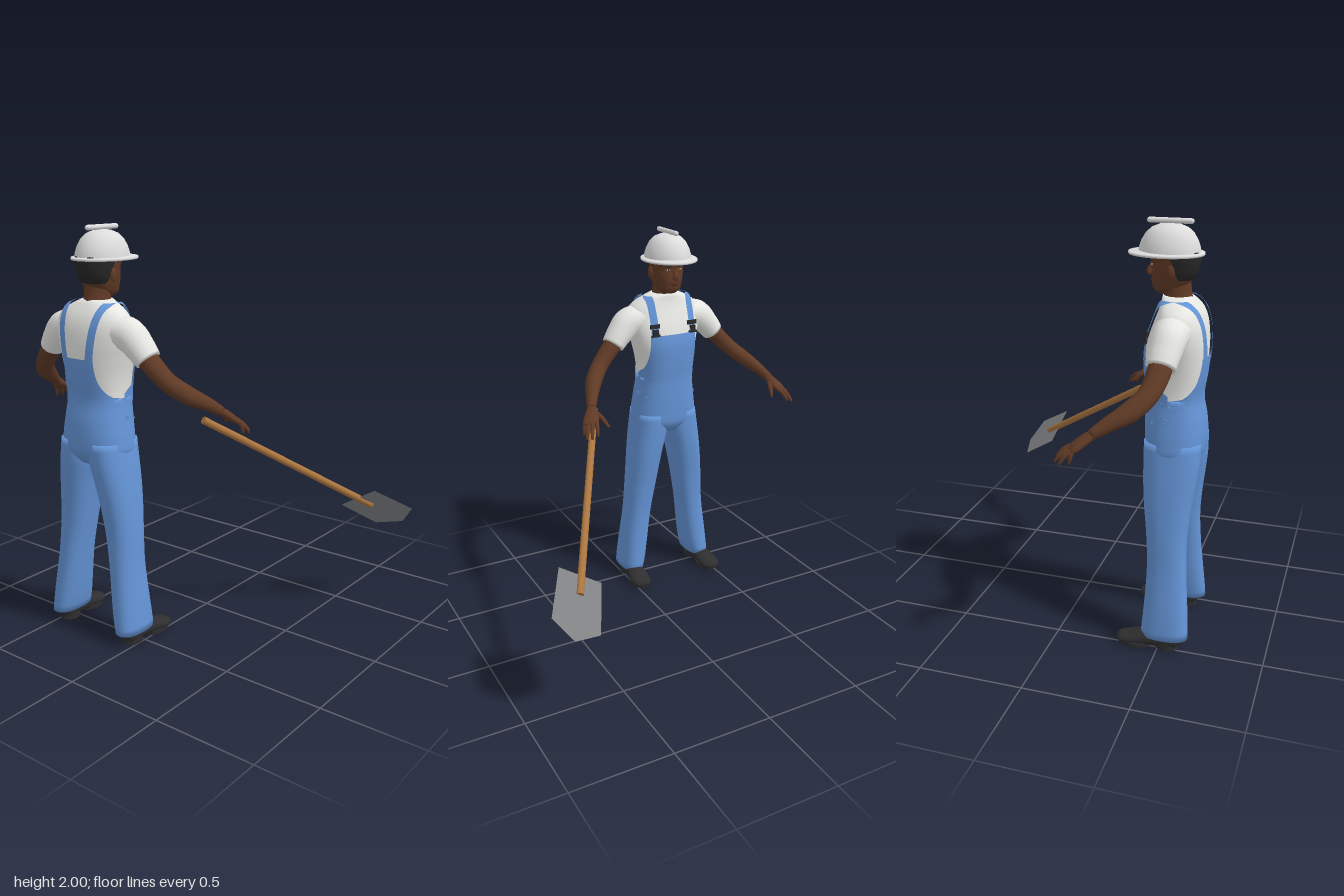
import * as THREE from 'three';
import { mergeVertices } from 'three/addons/utils/BufferGeometryUtils.js';

const mat = (name, color, side = THREE.FrontSide) => {
  const m = new THREE.MeshStandardMaterial({ color, side });
  m.name = name;
  return m;
};

// smooth lookup in a table whose first column is the parameter
function table(rows) {
  const it = new THREE.CubicInterpolant(rows.map(r => r[0]), rows.flatMap(r => r.slice(1)), rows[0].length - 1);
  return t => Array.from(it.evaluate(t));
}

// surface over a grid; fn(s, t) gives a point, s and t in 0..1
function grid(ns, nt, fn) {
  const pos = [], idx = [];
  for (let i = 0; i <= ns; i++) for (let j = 0; j <= nt; j++) pos.push(...fn(i / ns, j / nt));
  for (let i = 0; i < ns; i++) for (let j = 0; j < nt; j++) {
    const a = i * (nt + 1) + j, b = a + nt + 1;
    idx.push(a, b, a + 1, b, b + 1, a + 1);
  }
  let g = new THREE.BufferGeometry();
  g.setAttribute('position', new THREE.Float32BufferAttribute(pos, 3));
  g.setIndex(idx);
  g = mergeVertices(g, 1e-5);
  g.computeVertexNormals();
  return g;
}

function mirrorZ(geo) {
  const g = geo.clone().scale(1, 1, -1), ix = g.index;
  for (let i = 0; i < ix.count; i += 3) {
    const b = ix.getX(i + 1);
    ix.setX(i + 1, ix.getX(i + 2));
    ix.setX(i + 2, b);
  }
  return g;
}

// body section: rows are [y, back x, front x, half width]; angle 0 faces +x
const N = 2.4;
const pw = v => Math.sign(v) * Math.abs(v) ** (2 / N);
function section(tab, y, a, off = 0, zc = 0, k = 1) {
  const [xb, xf, rz] = tab(y);
  return [(xb + xf) / 2 + k * ((xf - xb) / 2 + off) * pw(Math.cos(a)), y, zc + k * (rz + off) * pw(Math.sin(a))];
}
const angleAt = (tab, y, u) => Math.sign(u) * Math.asin(Math.min(1, (Math.abs(u) / tab(y)[2]) ** (N / 2)));

// closed upright form between two heights
function loft(tab, y0, y1, n, off = 0, zc = () => 0) {
  return grid(n + 2, 40, (s, t) => {
    const i = Math.round(s * (n + 2));
    const y = y0 + (y1 - y0) * THREE.MathUtils.clamp((i - 1) / n, 0, 1);
    return section(tab, y, t * Math.PI * 2, off, zc(y), i === 0 || i === n + 2 ? 0 : 1);
  });
}

// limb along points [x, y, z, width radius, thickness radius]
function limb(rows, wide = [1, 0, 0], n = 16, seg = 16) {
  const tab = table(rows.map((r, i) => [i, ...r])), last = rows.length - 1;
  const at = t => new THREE.Vector3(...tab(THREE.MathUtils.clamp(t, 0, last)).slice(0, 3));
  return grid(n + 2, seg, (s, t) => {
    const i = Math.round(s * (n + 2)), v = last * THREE.MathUtils.clamp((i - 1) / n, 0, 1);
    const r = tab(v), k = i === 0 || i === n + 2 ? 0 : 1, a = t * Math.PI * 2;
    const T = at(v + 0.05).sub(at(v - 0.05)).normalize();
    const W = new THREE.Vector3(...wide);
    W.addScaledVector(T, -W.dot(T)).normalize();
    const B = W.clone().cross(T);
    return at(v).addScaledVector(W, k * r[3] * Math.cos(a)).addScaledVector(B, k * r[4] * Math.sin(a)).toArray();
  });
}

export function createModel() {
  const M = {
    shirt: mat('shirt white', 0xe6e6e3),
    helmet: mat('helmet white', 0xdcdcdc, THREE.DoubleSide),
    denim: mat('denim blue', 0x6494d6, THREE.DoubleSide),
    skin: mat('skin brown', 0x603a26),
    lip: mat('lip brown', 0x4e2a20),
    hair: mat('hair black', 0x262626),
    shoe: mat('shoe black', 0x2e2e30),
    wood: mat('handle wood', 0xaa7540),
    steel: mat('blade grey', 0x808284, THREE.DoubleSide),
    eye: mat('eye white', 0xb8aea6),
  };
  const root = new THREE.Group(), worker = new THREE.Group();
  root.name = 'workerWithShovel';
  worker.name = 'worker';
  worker.position.z = -0.26;
  root.add(worker);
  const add = (name, geo, m, parent = worker) => {
    const mesh = new THREE.Mesh(geo, m);
    mesh.name = name;
    parent.add(mesh);
    return mesh;
  };
  const pair = (name, geo, m) => {
    add(name + 'Left', geo, m);
    add(name + 'Right', mirrorZ(geo), m);
  };
  const placed = (geo, p) => geo.translate(...p);

  // shirt and overalls share one torso shape
  const torso = table([
    [0.89, -0.6, -0.42, 0.1], [0.94, -0.638, -0.382, 0.172], [1.0, -0.645, -0.375, 0.174],
    [1.1, -0.638, -0.372, 0.16], [1.2, -0.62, -0.372, 0.15], [1.3, -0.632, -0.364, 0.158],
    [1.4, -0.64, -0.362, 0.18], [1.48, -0.638, -0.378, 0.2], [1.55, -0.626, -0.402, 0.205],
    [1.6, -0.605, -0.42, 0.185], [1.635, -0.58, -0.428, 0.135], [1.662, -0.558, -0.43, 0.072],
  ]);
  add('shirt', loft(torso, 1.18, 1.662, 28), M.shirt);
  add('overallsWaist', loft(torso, 0.89, 1.21, 16, 0.006), M.denim);
  pair('sleeve', limb([
    [-0.51, 1.53, 0.13, 0.09, 0.075], [-0.508, 1.51, 0.21, 0.08, 0.08],
    [-0.502, 1.46, 0.265, 0.074, 0.068], [-0.495, 1.407, 0.308, 0.068, 0.058],
  ]), M.shirt);

  // bib panels wrap the torso, front and back
  const panel = (y0, y1, w0, w1, back) => grid(16, 24, (s, t) => {
    const y = y0 + (y1 - y0) * s, w = w1 + (w0 - w1) * (1 - s) ** 3;
    const a = angleAt(torso, y, w * (2 * t - 1));
    return section(torso, y, back ? Math.PI + a : a, 0.008);
  });
  add('bibFront', panel(1.18, 1.455, 0.18, 0.13, false), M.denim);
  add('bibBack', panel(1.18, 1.4, 0.18, 0.09, true), M.denim);

  // straps follow the chest and back and meet over the shoulder
  const strap = (y0, u0, back) => grid(24, 4, (s, t) => {
    const y = y0 + (1.645 - y0) * s;
    const a = angleAt(torso, y, u0 + (0.108 - u0) * s + 0.038 * (back ? 0.5 - t : t - 0.5));
    const p = section(torso, y, back ? Math.PI - a : a, 0.011);
    p[1] += 0.008 * s;
    return p;
  });
  pair('strapFront', strap(1.44, 0.105, false), M.denim);
  pair('strapBack', strap(1.36, 0.065, true), M.denim);

  // buckles and hip buttons
  for (const [y, h, w] of [[1.505, 0.022, 0.052], [1.475, 0.03, 0.03], [1.457, 0.012, 0.046]]) {
    const p = section(torso, y, angleAt(torso, y, 0.105), 0.013);
    pair('buckle', placed(new THREE.BoxGeometry(0.014, h, w).rotateZ(0.2), p), M.hair);
  }
  for (const [x, y] of [[-0.49, 1.115], [-0.43, 1.1]]) {
    const z = section(torso, y, Math.acos(Math.min(1, (Math.abs(x + 0.505) / 0.133) ** (N / 2))), 0.006)[2];
    pair('hipButton', placed(new THREE.TorusGeometry(0.009, 0.003, 6, 14), [x, y, z]), M.denim);
  }

  // trouser legs: [y, back x, front x, half width, centre z]
  const leg = table([
    [0.06, -0.638, -0.412, 0.062, 0.217], [0.12, -0.634, -0.415, 0.068, 0.207], [0.2, -0.627, -0.42, 0.071, 0.196],
    [0.4, -0.61, -0.425, 0.072, 0.17], [0.55, -0.605, -0.415, 0.08, 0.152], [0.7, -0.617, -0.396, 0.086, 0.132],
    [0.8, -0.63, -0.386, 0.09, 0.116], [0.9, -0.641, -0.38, 0.095, 0.097], [1.0, -0.642, -0.378, 0.088, 0.088],
  ]);
  pair('trouserLeg', loft(leg, 0.06, 1.0, 28, 0, y => leg(y)[3]), M.denim);

  // shoes
  pair('shoe', limb([
    [-0.602, 0.04, 0.215, 0.025, 0.03], [-0.585, 0.047, 0.216, 0.044, 0.043], [-0.5, 0.05, 0.219, 0.046, 0.048],
    [-0.42, 0.043, 0.224, 0.052, 0.039], [-0.36, 0.032, 0.228, 0.057, 0.029], [-0.315, 0.027, 0.228, 0.045, 0.022],
    [-0.298, 0.026, 0.228, 0.02, 0.012],
  ], [0, 0, 1], 20), M.shoe);
  pair('shoeSole', placed(new THREE.CylinderGeometry(0.056, 0.054, 0.02, 24).scale(1.45, 1, 1), [-0.385, 0.011, 0.226]), M.shoe);
  pair('shoeHeel', placed(new THREE.CylinderGeometry(0.046, 0.046, 0.03, 20).scale(1.2, 1, 1), [-0.54, 0.016, 0.217]), M.shoe);

  // bare arms
  pair('arm', limb([
    [-0.5, 1.45, 0.27, 0.05, 0.05], [-0.493, 1.39, 0.325, 0.054, 0.046], [-0.468, 1.312, 0.4, 0.048, 0.042],
    [-0.405, 1.25, 0.465, 0.047, 0.04], [-0.33, 1.205, 0.51, 0.035, 0.031], [-0.262, 1.16, 0.545, 0.024, 0.023],
  ], [1, 0, 0], 24), M.skin);

  // hands: palm, four fingers and thumb
  const spread = [-0.32, -0.21, 0.92], knuckle = [-0.19, 1.105, 0.583];
  pair('palm', limb([
    [-0.275, 1.168, 0.537, 0.022, 0.02], [-0.24, 1.143, 0.555, 0.034, 0.021],
    [-0.205, 1.115, 0.575, 0.041, 0.018], [-0.185, 1.1, 0.586, 0.036, 0.011],
  ], spread, 10), M.skin);
  const tips = [[-0.12, 1.062, 0.575], [-0.122, 1.05, 0.607], [-0.147, 1.045, 0.625], [-0.192, 1.053, 0.622]];
  const finger = (name, a, b, r) => {
    const mid = a.map((v, i) => (v + b[i]) / 2 + (i === 1 ? 0.008 : 0));
    pair(name, limb([[...a, r, r], [...mid, r, r], [...b, r * 0.55, r * 0.55]], spread, 6, 8), M.skin);
  };
  tips.forEach((tip, i) => finger('finger', knuckle.map((v, k) => v + spread[k] * (i - 1.5) * 0.02), tip, 0.0105));
  finger('thumb', [-0.248, 1.148, 0.535], [-0.158, 1.085, 0.497], 0.0125);

  // neck and head
  add('neck', limb([
    [-0.505, 1.6, 0, 0.075, 0.075], [-0.495, 1.665, 0, 0.064, 0.063], [-0.485, 1.76, 0, 0.066, 0.06],
  ]), M.skin);
  const head = table([
    [1.668, -0.47, -0.405, 0.032], [1.685, -0.505, -0.386, 0.056], [1.715, -0.545, -0.378, 0.07],
    [1.75, -0.57, -0.374, 0.079], [1.8, -0.584, -0.378, 0.087], [1.85, -0.586, -0.37, 0.09], [1.88, -0.57, -0.39, 0.08],
  ]);
  add('head', loft(head, 1.668, 1.88, 20), M.skin);
  add('hair', grid(12, 24, (s, t) => {
    const y = 1.735 + 0.135 * s, half = Math.PI * (0.36 + 0.18 * Math.sqrt(s));
    return section(head, y, Math.PI + half * (2 * t - 1), 0.006 * Math.min(1, s * 4));
  }), M.hair);
  add('nose', limb([
    [-0.378, 1.8, 0, 0.008, 0.008], [-0.366, 1.775, 0, 0.013, 0.012], [-0.363, 1.757, 0, 0.014, 0.018], [-0.372, 1.748, 0, 0.008, 0.012],
  ], [1, 0, 0], 8, 12), M.skin);
  pair('ear', placed(new THREE.SphereGeometry(0.03, 14, 10).scale(0.65, 1.05, 0.35), [-0.478, 1.775, 0.09]), M.skin);
  const facePart = (name, geo, y, u, m) => pair(name, placed(geo, section(head, y, angleAt(head, y, u), 0)), m);
  facePart('eye', new THREE.SphereGeometry(0.01, 10, 8).scale(0.4, 0.5, 1.1), 1.797, 0.034, M.eye);
  facePart('pupil', new THREE.SphereGeometry(0.005, 8, 6), 1.797, 0.034, M.hair);
  facePart('eyebrow', new THREE.BoxGeometry(0.008, 0.006, 0.034).rotateY(-0.15), 1.816, 0.035, M.hair);
  add('lips', placed(new THREE.SphereGeometry(0.024, 14, 8).scale(0.3, 0.36, 1), [-0.376, 1.722, 0]), M.lip);

  // hard hat: dome, brim and ridge
  const lathe = (pts, x, sz) => new THREE.LatheGeometry(pts.map(p => new THREE.Vector2(...p)), 48).scale(1, 1, sz).translate(x, 0, 0);
  add('helmetDome', lathe([[0.14, 1.848], [0.137, 1.87], [0.127, 1.9], [0.108, 1.933], [0.082, 1.957], [0.045, 1.972], [0, 1.977]], -0.452, 0.86), M.helmet);
  add('helmetBrim', lathe([[0.12, 1.84], [0.17, 1.84], [0.172, 1.846], [0.17, 1.852], [0.125, 1.858]], -0.438, 0.83), M.helmet);
  add('helmetRidge', placed(new THREE.CapsuleGeometry(0.0125, 0.186, 6, 12).rotateZ(Math.PI / 2), [-0.452, 1.986, 0]), M.helmet);

  // shovel beside the left hand
  const shovel = new THREE.Group();
  shovel.name = 'shovel';
  root.add(shovel);
  const a = new THREE.Vector3(-0.335, 1.125, 0.237), b = new THREE.Vector3(0.48, 0.577, 0.697);
  const dir = b.clone().sub(a);
  const handle = add('shovelHandle', new THREE.CylinderGeometry(0.018, 0.018, dir.length(), 16), M.wood, shovel);
  handle.position.copy(a).add(b).multiplyScalar(0.5);
  handle.quaternion.setFromUnitVectors(new THREE.Vector3(0, 1, 0), dir.normalize());
  const blade = new THREE.BufferGeometry();
  blade.setAttribute('position', new THREE.Float32BufferAttribute([
    0.39, 0.69, 0.757, 0.415, 0.566, 0.56, 0.615, 0.43, 0.66, 0.648, 0.46, 0.797, 0.583, 0.566, 0.876,
  ], 3));
  blade.setIndex([0, 2, 1, 0, 3, 2, 0, 4, 3]);
  blade.computeVertexNormals();
  add('shovelBlade', blade, M.steel, shovel);
  return root;
}
